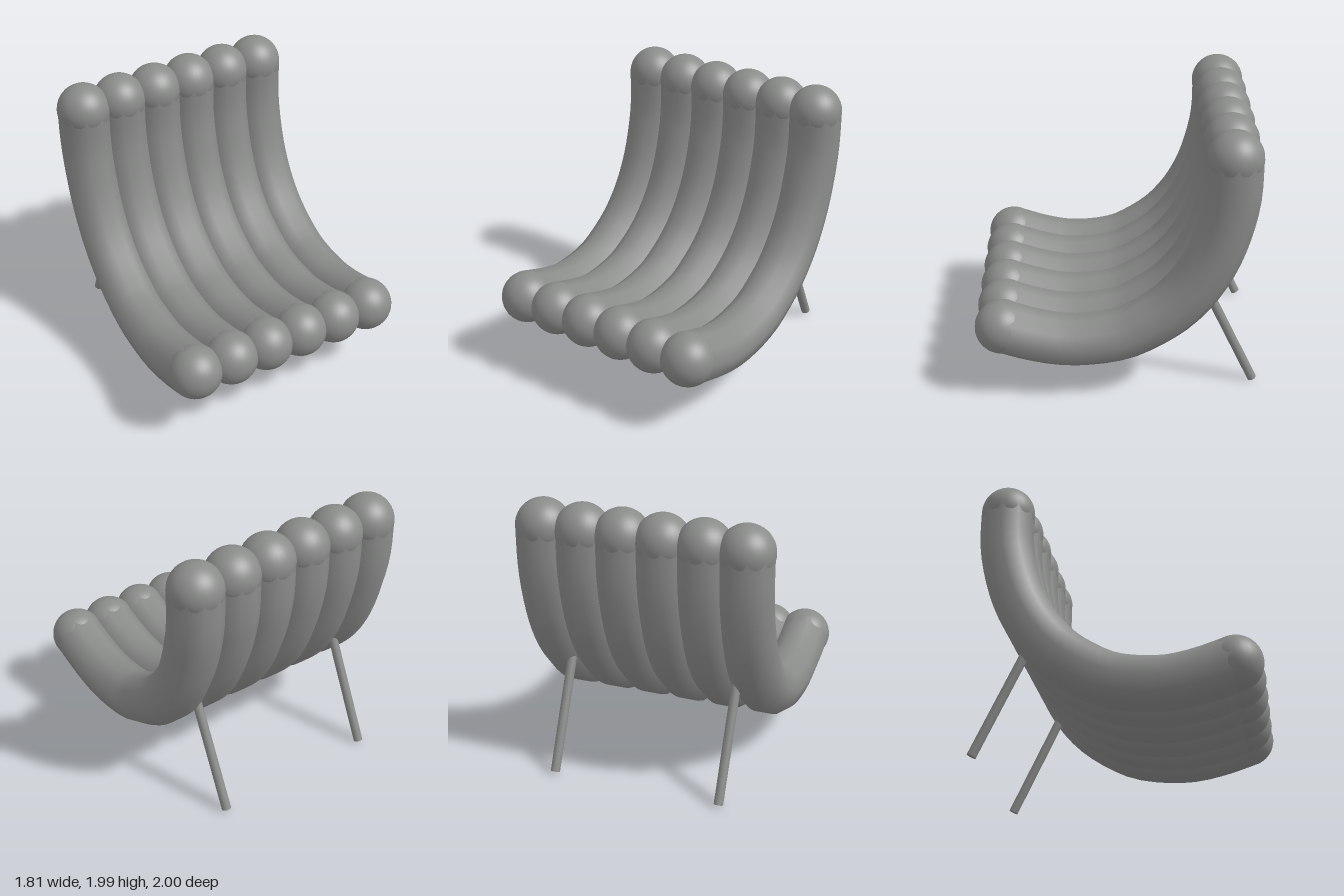
import * as THREE from 'three';

export function createModel() {
  const model = new THREE.Group();
  model.name = 'tubularLoungeChair';
  const grey = new THREE.MeshStandardMaterial({ color: 0x8a8c8a });
  grey.name = 'grey';

  const add = (parent, name, geometry, position) => {
    const mesh = new THREE.Mesh(geometry, grey);
    mesh.name = name;
    mesh.position.copy(position);
    parent.add(mesh);
    return mesh;
  };

  // Side profile shared by every padded roll, as [z, y] from seat front to back top
  const profile = [
    [0.81, 0.53], [0.57, 0.455], [0.33, 0.418], [0, 0.457], [-0.18, 0.54], [-0.37, 0.675],
    [-0.515, 0.84], [-0.62, 1.02], [-0.69, 1.2], [-0.75, 1.45], [-0.765, 1.6], [-0.765, 1.805],
  ].map(([z, y]) => new THREE.Vector3(0, y, z));
  const radius = 0.19;
  const tube = new THREE.TubeGeometry(new THREE.CatmullRomCurve3(profile), 28, radius, 10);
  const ball = new THREE.SphereGeometry(radius, 32, 24);

  // Six rolls side by side, each with rounded ends
  for (let i = 0; i < 6; i++) {
    const roll = new THREE.Group();
    roll.name = 'paddedRoll' + (i + 1);
    roll.position.x = (i - 2.5) * 0.286;
    add(roll, 'rollBody', tube, new THREE.Vector3());
    add(roll, 'seatEnd', ball, profile[0]);
    add(roll, 'backEnd', ball, profile[profile.length - 1]);
    model.add(roll);
  }

  // Two slanted rear legs
  for (const side of [-1, 1]) {
    const foot = new THREE.Vector3(side * 0.614, 0.015, -0.968);
    const top = new THREE.Vector3(side * 0.614, 0.84, -0.58);
    const axis = top.clone().sub(foot);
    const leg = add(model, side > 0 ? 'leftLeg' : 'rightLeg',
      new THREE.CylinderGeometry(0.033, 0.033, axis.length(), 16),
      foot.clone().add(top).multiplyScalar(0.5));
    leg.quaternion.setFromUnitVectors(new THREE.Vector3(0, 1, 0), axis.normalize());
  }
  return model;
}
